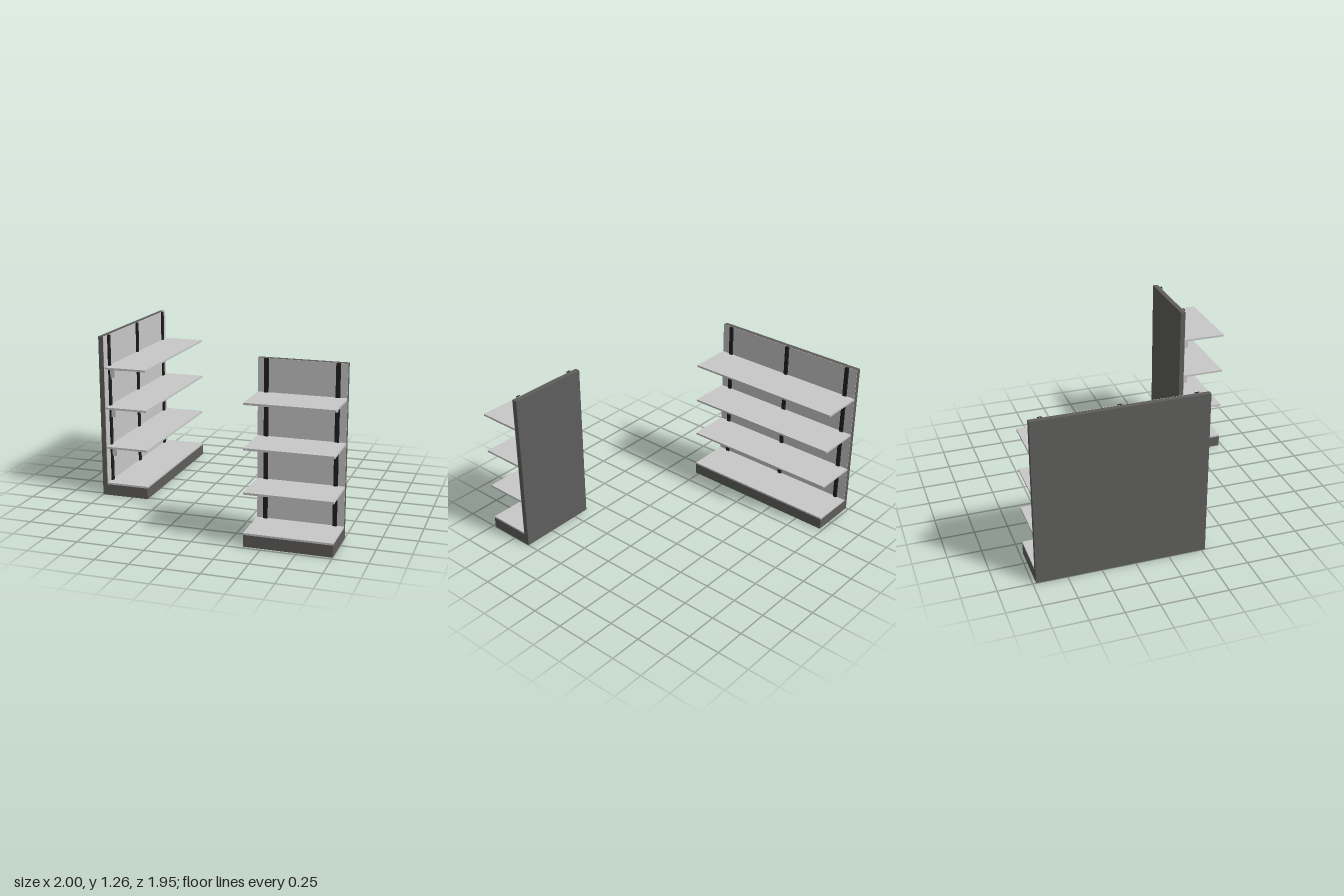
import * as THREE from 'three';

const mat = (name, color) => {
  const m = new THREE.MeshStandardMaterial({ color });
  m.name = name;
  return m;
};

const HEIGHT = 1.256, DEPTH = 0.375, BACK = 0.038, BASE = 0.086, DECK = 0.1;
const SHELF_TOPS = [0.392, 0.705, 1.018], SHELF_T = 0.015;

export function createModel() {
  const dark = mat('dark grey', 0x5f5e5d);
  const light = mat('light grey', 0xc8c8c8);
  const black = mat('black', 0x202020);

  // Box given by its minimum and maximum corners
  const box = (parent, name, material, [x0, y0, z0], [x1, y1, z1]) => {
    const mesh = new THREE.Mesh(new THREE.BoxGeometry(x1 - x0, y1 - y0, z1 - z0), material);
    mesh.position.set((x0 + x1) / 2, (y0 + y1) / 2, (z0 + z1) / 2);
    mesh.name = name;
    parent.add(mesh);
  };

  // L-shaped bracket outline: x runs outwards from the upright, y down from the shelf
  const outline = new THREE.Shape([
    [0, 0], [0, -0.078], [0.035, -0.078], [0.035, -0.02], [0.13, -0.02], [0.13, 0],
  ].map(([x, y]) => new THREE.Vector2(x, y)));
  const bracketGeo = new THREE.ExtrudeGeometry(outline, { depth: 0.018, bevelEnabled: false });
  bracketGeo.translate(0, 0, -0.009).rotateY(-Math.PI / 2);

  // One shelving unit, back at z = 0, shelves towards +z
  const shelvingUnit = (name, width, posts) => {
    const unit = new THREE.Group();
    unit.name = name;
    const w = width / 2;
    box(unit, 'backPanel', dark, [-w, 0, 0], [w, HEIGHT, BACK]);
    box(unit, 'base', dark, [-w, 0, BACK], [w, BASE, DEPTH]);
    box(unit, 'backFacing', light, [-w, DECK, BACK], [w, HEIGHT, BACK + 0.003]);
    box(unit, 'baseDeck', light, [-w, BASE, BACK], [w, DECK, DEPTH]);
    for (const top of SHELF_TOPS)
      box(unit, 'shelf', light, [-w, top - SHELF_T, BACK + 0.004], [w, top, DEPTH]);
    for (const x of posts) {
      box(unit, 'upright', black, [x - 0.015, DECK, BACK], [x + 0.015, HEIGHT, 0.055]);
      for (const top of SHELF_TOPS) {
        const bracket = new THREE.Mesh(bracketGeo, light);
        bracket.name = 'bracket';
        bracket.position.set(x, top - SHELF_T, 0.055);
        unit.add(bracket);
      }
    }
    return unit;
  };

  const model = new THREE.Group();
  model.name = 'shelvingUnits';

  // Long unit faces +x, short unit faces +z
  const long = shelvingUnit('longUnit', 1.254, [-0.543, 0, 0.543]);
  long.rotation.y = Math.PI / 2;
  long.position.set(-1, 0, -0.349);
  const short = shelvingUnit('shortUnit', 0.63, [-0.252, 0.25]);
  short.position.set(0.685, 0, 0.6);
  model.add(long, short);
  return model;
}
